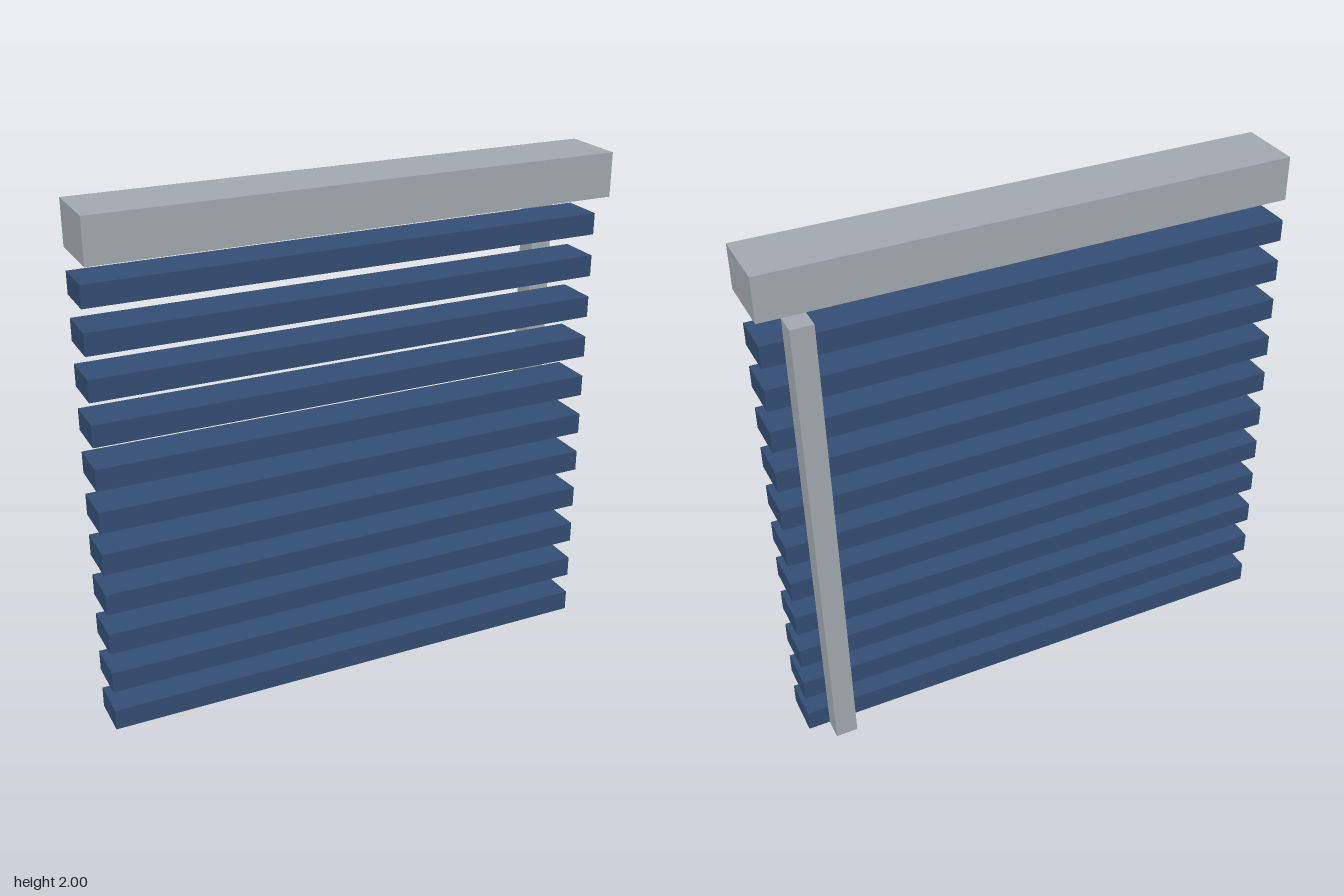
import * as THREE from 'three';

const U = 1 / 12; // building unit
const SLATS = 11;

export function createModel() {
  const group = new THREE.Group();
  const grey = new THREE.MeshStandardMaterial({ color: 0xa3aaaf });
  grey.name = 'grey metal';
  const blue = new THREE.MeshStandardMaterial({ color: 0x344e73 });
  blue.name = 'navy blue';

  // Box from its lower and upper corners, in building units
  function addBox(name, material, min, max) {
    const size = max.map((v, i) => (v - min[i]) * U);
    const mesh = new THREE.Mesh(new THREE.BoxGeometry(...size), material);
    mesh.position.set(...max.map((v, i) => ((v + min[i]) / 2) * U));
    mesh.name = name;
    group.add(mesh);
  }

  // Head rail, overhanging the slats at the front
  addBox('headRail', grey, [-12, 22, -1], [12, 24, 2]);

  // Evenly spaced horizontal slats
  for (let i = 0; i < SLATS; i++) {
    addBox(`slat${i + 1}`, blue, [-12, 2 * i, -1], [12, 2 * i + 1, 1]);
  }

  // Upright control rod behind the slats
  addBox('controlRod', grey, [10, 0, -2], [11, 22, -1]);

  return group;
}
